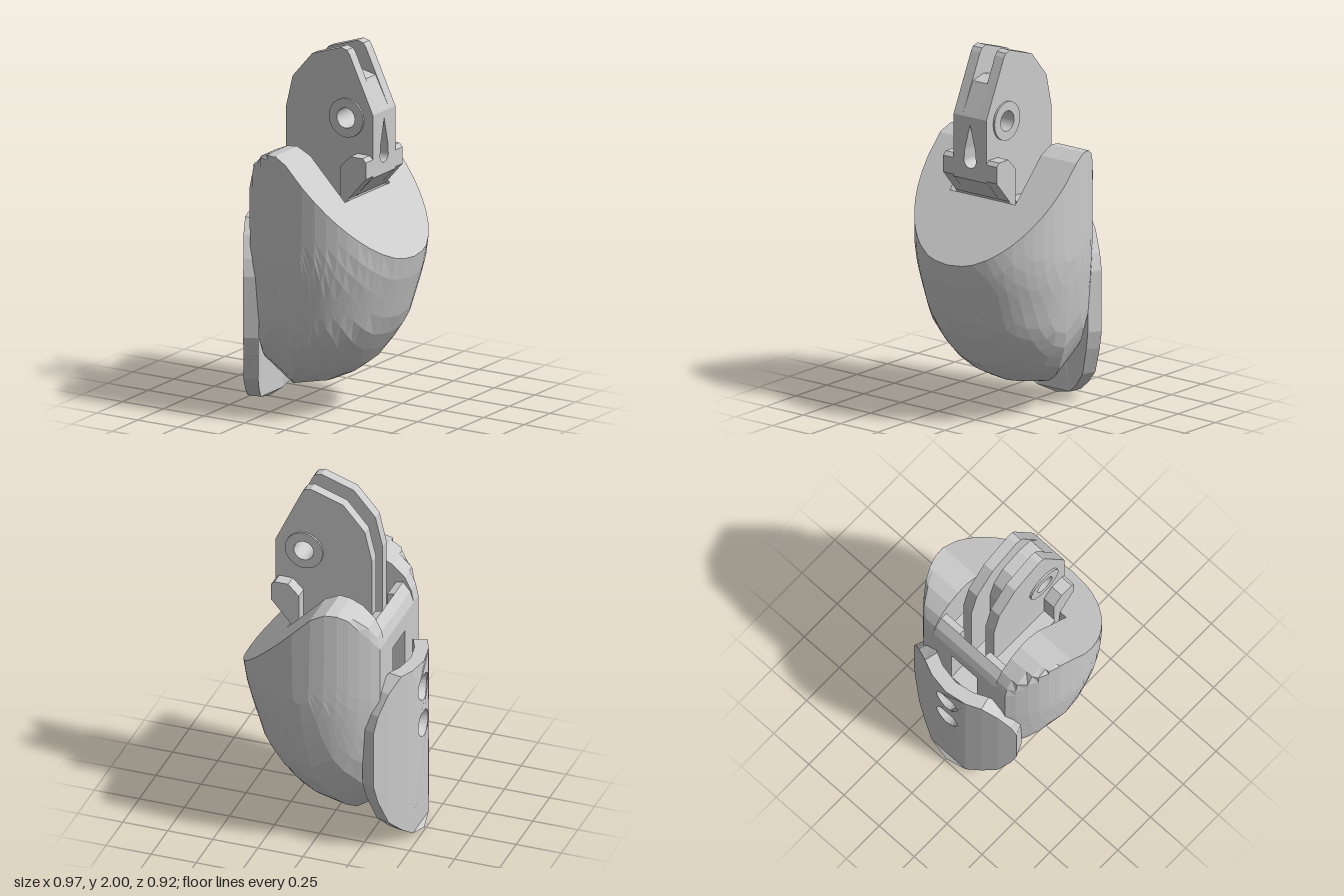
import * as THREE from 'three';

const flat = () => new THREE.MeshStandardMaterial({ color: 0xcccccc, flatShading: true, side: THREE.DoubleSide });
const V = (x, y) => new THREE.Vector2(x, y);
const lerp = THREE.MathUtils.lerp;

// Piecewise-linear lookup: column c of rows sorted by their first entry
function look(rows, t, c) {
  if (t <= rows[0][0]) return rows[0][c];
  for (let i = 1; i < rows.length; i++) {
    const a = rows[i - 1], b = rows[i];
    if (t <= b[0]) return lerp(a[c], b[c], (t - a[0]) / (b[0] - a[0]));
  }
  return rows[rows.length - 1][c];
}

function add(parent, geo, name) {
  const m = new THREE.Mesh(geo, flat());
  m.name = name;
  parent.add(m);
  return m;
}

// Loft closed xy outlines (counter-clockwise) along z, with end caps
function loft(zs, outline) {
  const rings = zs.map(outline), n = rings[0].length, pos = [], idx = [];
  rings.forEach((r, s) => r.forEach(p => pos.push(p.x, p.y, zs[s])));
  for (let s = 0; s < zs.length - 1; s++)
    for (let i = 0; i < n; i++) {
      const a = s * n + i, b = s * n + (i + 1) % n;
      idx.push(a, b, b + n, a, b + n, a + n);
    }
  const last = (zs.length - 1) * n;
  THREE.ShapeUtils.triangulateShape(rings[0], []).forEach(([a, b, c]) => idx.push(c, b, a));
  THREE.ShapeUtils.triangulateShape(rings[zs.length - 1], []).forEach(([a, b, c]) => idx.push(last + a, last + b, last + c));
  const g = new THREE.BufferGeometry();
  g.setAttribute('position', new THREE.Float32BufferAttribute(pos, 3));
  g.setIndex(idx);
  g.computeVertexNormals();
  return g;
}

// Fingertip cross-sections: y, half width, centre x, front x, back x
const SECTIONS = [
  [0.125, 0.0, -0.18, -0.18, -0.18], [0.15, 0.16, -0.17, -0.04, -0.26],
  [0.2, 0.23, -0.13, 0.08, -0.33], [0.28, 0.3, -0.08, 0.2, -0.4],
  [0.4, 0.37, -0.03, 0.29, -0.44], [0.52, 0.41, 0, 0.37, -0.46],
  [0.8, 0.45, 0.03, 0.46, -0.46], [0.92, 0.46, 0.03, 0.485, -0.46],
  [1.5, 0.461, 0.03, 0.485, -0.46],
];
const slopeX = y => 0.48 - (y - 0.9) / 1.04;
const slopeY = x => 0.9 + (0.48 - x) * 1.04;
const bulge = (y, z) => Math.sqrt(Math.max(0, 1 - (z / Math.max(1e-4, look(SECTIONS, y, 1))) ** 2));
const frontX = (y, z) => lerp(look(SECTIONS, y, 2), look(SECTIONS, y, 3), bulge(y, z));
const backX = (y, z) => Math.max(-0.35, lerp(look(SECTIONS, y, 2), look(SECTIONS, y, 4), bulge(y, z)));

// Lowest y at which the fingertip reaches sideways to z
function bottomY(z) {
  let lo = 0.125, hi = 1.4;
  for (let i = 0; i < 30; i++) {
    const m = (lo + hi) / 2;
    if (look(SECTIONS, m, 1) < Math.abs(z)) lo = m; else hi = m;
  }
  return hi;
}

// Height at which the round front meets the sloping face
function rimY(z) {
  let lo = 0.85, hi = 1.45;
  for (let i = 0; i < 30; i++) {
    const m = (lo + hi) / 2;
    if (frontX(m, z) < slopeX(m)) lo = m; else hi = m;
  }
  return lo;
}

// Outline of the fingertip at z; top lists the points after the sloping face
function tipOutline(z, slopeTop, top, wallTop) {
  const y0 = bottomY(z), yr = rimY(z), pts = [], N = 9;
  for (let i = 0; i <= N; i++) {
    const y = lerp(y0, yr, (i / N) ** 1.4);
    pts.push(V(frontX(y, z), y));
  }
  pts.push(V(slopeX(slopeTop), slopeTop));
  top.forEach(([x, y]) => pts.push(V(x, y)));
  for (let i = 0; i < N; i++) {
    const y = lerp(wallTop, y0, i / N);
    pts.push(V(backX(y, z), y));
  }
  // keep the upper points inside the curved back and under the slope
  return pts.map(p => {
    if (p.y < 1.0) return p;
    const x = Math.max(p.x, backX(p.y, z));
    return V(x, Math.min(p.y, slopeY(x)));
  });
}

// Extrude an xy polygon (with optional round hole) between two z values
function plate(points, z0, z1, hole) {
  const s = new THREE.Shape(points.map(p => V(...p)));
  if (hole) s.holes.push(new THREE.Path().absarc(hole[0], hole[1], hole[2], 0, Math.PI * 2, true));
  return new THREE.ExtrudeGeometry(s, { depth: z1 - z0, bevelEnabled: false, curveSegments: 12 }).translate(0, 0, z0);
}

// Extrude a zy shape along x
function alongX(shape, x0, x1) {
  return new THREE.ExtrudeGeometry(shape, { depth: x1 - x0, bevelEnabled: false, curveSegments: 8 })
    .rotateY(Math.PI / 2).translate(x0, 0, 0);
}

function box(x0, x1, y0, y1, z0, z1) {
  return new THREE.BoxGeometry(x1 - x0, y1 - y0, z1 - z0).translate((x0 + x1) / 2, (y0 + y1) / 2, (z0 + z1) / 2);
}

function makeTip() {
  const g = new THREE.Group();
  g.name = 'fingertip';
  // rounded cheeks beside the slot
  const crown = [[-0.1, 1.46], [-0.16, 1.455], [-0.23, 1.425], [-0.3, 1.36], [-0.335, 1.29]];
  const cheek = [0.22, 0.25, 0.29, 0.33, 0.37, 0.4, 0.425, 0.445, 0.458];
  const cheekLine = z => tipOutline(z, 1.42, crown, 1.22);
  add(g, loft(cheek, cheekLine), 'leftCheek');
  add(g, loft(cheek.map(z => -z).reverse(), cheekLine), 'rightCheek');
  // slotted middle with a low back wall
  const slot = [[0.19, 0.95], [-0.25, 0.95], [-0.25, 1.32], [-0.29, 1.33], [-0.33, 1.28]];
  for (const zs of [[-0.22, -0.15, -0.09], [0.09, 0.15, 0.22]])
    add(g, loft(zs, z => tipOutline(z, 1.2, slot, 1.22)), 'slotSide');
  // centre strip, open at the back under a bridge
  const open = [[0.19, 0.95], [-0.25, 0.95], [-0.25, 0.8]];
  add(g, loft([-0.09, 0, 0.09], z => tipOutline(z, 1.2, open, 0.8)), 'slotCentre');
  add(g, plate([[-0.35, 1.12], [-0.3, 1.12], [-0.29, 1.33], [-0.33, 1.28], [-0.35, 1.22]], -0.09, 0.09), 'backBridge');
  return g;
}

function makeLink() {
  const g = new THREE.Group();
  g.name = 'knuckleLink';
  const side = [[-0.24, 1.0], [0.17, 1.0], [0.19, 1.21], [0.295, 1.32], [0.295, 1.66], [0.15, 1.97],
    [0.135, 1.99], [0.1, 2.0], [-0.08, 1.94], [-0.2, 1.8], [-0.24, 1.63]];
  const lug = [[0.14, 1.0], [0.17, 1.0], [0.19, 1.21], [0.295, 1.33], [0.295, 1.42], [0.275, 1.44], [0.2, 1.44], [0.14, 1.38]];
  for (const s of [-1, 1]) {
    const span = (a, b) => s > 0 ? [a, b] : [-b, -a];
    add(g, plate(side, ...span(0.05, 0.11), [0.135, 1.625, 0.055]), 'sidePlate');
    const ring = Array.from({ length: 24 }, (_, i) => {
      const a = i * Math.PI / 12;
      return [0.135 + 0.105 * Math.cos(a), 1.625 + 0.105 * Math.sin(a)];
    });
    add(g, plate(ring, ...span(0.108, 0.121), [0.135, 1.625, 0.055]), 'pivotWasher');
    add(g, plate(lug, ...span(0.11, 0.18)), 'stopLug');
    add(g, box(-0.24, 0.14, 1.0, 1.2, ...span(0.11, 0.19)), 'slotShoulder');
  }
  // core between the plates, leaving a cord groove over the top and back
  add(g, plate([[-0.1, 1.48], [0.2, 1.48], [0.21, 1.83], [0.12, 1.85], [0, 1.82], [-0.07, 1.74], [-0.1, 1.62]],
    -0.05, 0.05, [0.135, 1.625, 0.055]), 'upperCore');
  add(g, plate([[-0.1, 1.0], [0.17, 1.0], [0.19, 1.21], [0.295, 1.32], [0.295, 1.37], [-0.1, 1.37]], -0.05, 0.05), 'lowerCore');
  // cord tunnel, with a pointed recess above its front mouth
  const band = new THREE.Shape([V(-0.05, 1.37), V(0.05, 1.37), V(0.05, 1.48), V(-0.05, 1.48)]);
  band.holes.push(new THREE.Path().absarc(0, 1.422, 0.04, 0, Math.PI * 2, true));
  add(g, alongX(band, -0.1, 0.2), 'cordTunnel');
  const mouth = new THREE.Shape([V(-0.05, 1.37), V(0.05, 1.37), V(0.05, 1.66), V(-0.05, 1.66)]);
  const key = new THREE.Path().absarc(0, 1.422, 0.04, Math.PI, Math.PI * 2, false);
  key.lineTo(0.035, 1.48);
  key.lineTo(0, 1.62);
  key.lineTo(-0.035, 1.48);
  key.closePath();
  mouth.holes.push(key);
  add(g, alongX(mouth, 0.2, 0.295), 'cordMouth');
  add(g, plate([[0.2, 1.66], [0.295, 1.66], [0.21, 1.83]], -0.05, 0.05), 'noseCore');
  return g;
}

function makeNail() {
  const g = new THREE.Group();
  g.name = 'nail';
  // |z|, outer x, lower y, upper y
  const rim = [[0, -0.49, 0.005, 1.02], [0.12, -0.47, 0.03, 1.02], [0.2, -0.435, 0.09, 1.02],
    [0.28, -0.395, 0.17, 0.95], [0.34, -0.358, 0.32, 0.84], [0.365, -0.343, 0.42, 0.75]];
  const stops = [-0.365, -0.34, -0.28, -0.2, -0.12, 0.12, 0.2, 0.28, 0.34, 0.365];
  const holes = [0.86, 0.64];
  for (let i = 0; i < stops.length - 1; i++) {
    const zs = [stops[i], stops[i + 1]];
    const middle = i === 4;
    if (middle) zs.splice(1, 0, 0);
    const edge = c => zs.map(z => V(z, look(rim, Math.abs(z), c)));
    const s = new THREE.Shape([...edge(2), ...edge(3).reverse()]);
    if (middle) holes.forEach(y => s.holes.push(new THREE.Path().absarc(0, y, 0.04, 0, Math.PI * 2, true)));
    const geo = new THREE.ExtrudeGeometry(s, { depth: 1, bevelEnabled: false, curveSegments: 10 });
    // bend the strip round the finger and flare the countersinks outward
    const p = geo.attributes.position;
    for (let k = 0; k < p.count; k++) {
      let z = p.getX(k), y = p.getY(k);
      const t = 1 - p.getZ(k);
      const x = look(rim, Math.abs(z), 1);
      if (middle && t < 0.5) holes.forEach(h => {
        if (Math.hypot(z, p.getY(k) - h) < 0.05) { z *= 1.85; y = h + (y - h) * 1.85; }
      });
      p.setXYZ(k, x + t * 0.075, y, z * (1 - 0.09 * t));
    }
    geo.computeVertexNormals();
    add(g, geo, 'nailStrip');
  }
  return g;
}

export function createModel() {
  const model = new THREE.Group();
  model.name = 'fingerSegment';
  model.add(makeTip(), makeLink(), makeNail());
  return model;
}
